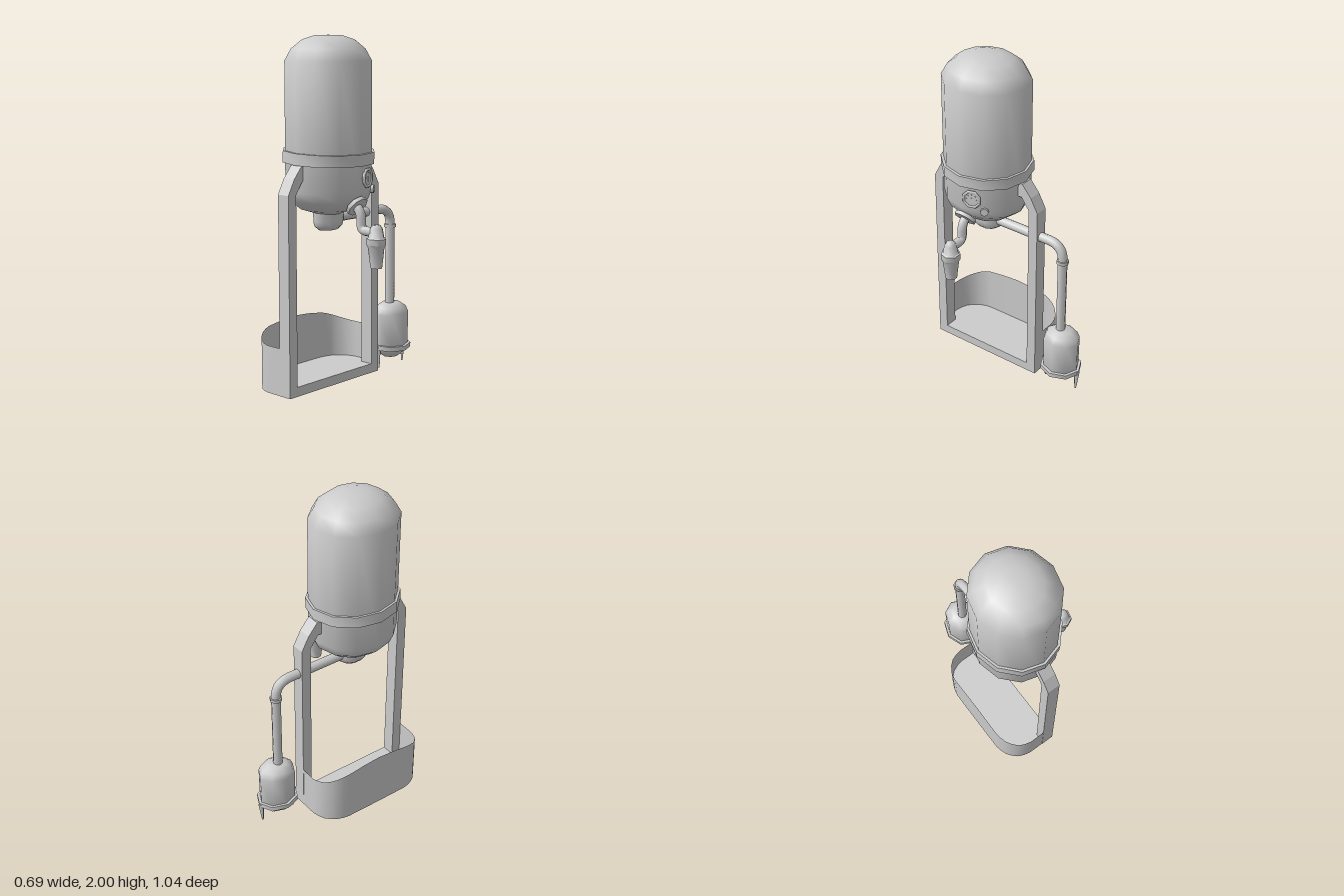
import * as THREE from 'three';
import { toCreasedNormals } from 'three/addons/utils/BufferGeometryUtils.js';

const grey = new THREE.MeshStandardMaterial({ color: 0xcccccc });
const thin = new THREE.MeshStandardMaterial({ color: 0xcccccc, side: THREE.DoubleSide });
const v3 = (p) => new THREE.Vector3(...p);
const v2 = (p) => new THREE.Vector2(...p);

export function createModel() {
  const model = new THREE.Group();
  const AX = -0.065; // shared x axis of tank, pipe and pump
  const TZ = 0.158; // tank centre
  const FZ = 0.148; // frame centre

  function add(name, geometry, pos = [0, 0, 0], parent = model, material = grey) {
    const mesh = new THREE.Mesh(geometry, material);
    mesh.name = name;
    mesh.position.set(...pos);
    parent.add(mesh);
    return mesh;
  }
  // turned part, profile listed from bottom to top as [radius, y]
  const turned = (profile, sides, sx = 1, sz = 1) =>
    toCreasedNormals(new THREE.LatheGeometry(profile.map(v2), sides).scale(sx, 1, sz), 0.95);
  // pipe along straight runs with rounded corners
  function pipe(points, radius, bend, sides) {
    const path = new THREE.CurvePath();
    const p = points.map(v3);
    let from = p[0];
    for (let i = 1; i < p.length - 1; i++) {
      const a = p[i].clone().add(p[i - 1].clone().sub(p[i]).setLength(bend));
      const b = p[i].clone().add(p[i + 1].clone().sub(p[i]).setLength(bend));
      path.add(new THREE.LineCurve3(from, a));
      path.add(new THREE.QuadraticBezierCurve3(a, p[i], b));
      from = b;
    }
    path.add(new THREE.LineCurve3(from, p[p.length - 1]));
    return new THREE.TubeGeometry(path, 48, radius, sides);
  }

  // main tank with domed ends
  add('tank', turned([
    [0, 1.0], [0.07, 1.002], [0.155, 1.03], [0.218, 1.085], [0.24, 1.14], [0.24, 1.86],
    [0.205, 1.925], [0.145, 1.975], [0.075, 1.998], [0, 2.0],
  ], 12, 1, 1.085), [AX, 0, TZ]);

  // slightly tilted band around the tank
  const band = add('tankBand', turned([
    [0.23, -0.033], [0.255, -0.033], [0.255, 0.033], [0.23, 0.033],
  ], 12, 1, 1.075), [AX, 1.328, TZ]);
  band.rotation.z = -0.04;

  // outlet cup under the tank
  add('outletCup', turned([
    [0, 0.907], [0.045, 0.909], [0.063, 0.93], [0.068, 0.96], [0.068, 1.03],
  ], 10, 1, 1.5), [AX, 0, TZ + 0.004]);

  // frame: base bar and two posts leaning in at the top
  const half = [[0.372, 0], [0.372, 1.14], [0.326, 1.225], [0.267, 1.295], [0.21, 1.295],
    [0.21, 1.21], [0.262, 1.21], [0.312, 1.14], [0.312, 0.055]];
  const outline = [...half, ...half.map(([z, y]) => [-z, y]).reverse()];
  const frame = new THREE.ExtrudeGeometry(new THREE.Shape(outline.map(v2)), { depth: 0.08, bevelEnabled: false });
  add('frame', frame.rotateY(-Math.PI / 2), [-0.025, 0, FZ]);

  // tray behind the frame: thin wall of varying height, [x, z offset, top]
  const side = [[-0.105, 0.37, 0.275], [-0.2, 0.37, 0.275], [-0.24, 0.361, 0.279], [-0.278, 0.344, 0.287],
    [-0.31, 0.313, 0.301], [-0.329, 0.285, 0.313], [-0.342, 0.25, 0.325], [-0.349, 0.215, 0.333],
    [-0.35, 0.11, 0.347]];
  const rim = [...side, [-0.35, 0, 0.355], ...side.map(([x, z, y]) => [x, -z, y]).reverse()];
  const pos = [];
  const index = [];
  rim.forEach(([x, z, top], i) => {
    pos.push(x, 0, z, x, top, z);
    if (i) index.push(2 * i - 2, 2 * i - 1, 2 * i, 2 * i, 2 * i - 1, 2 * i + 1);
  });
  const wall = new THREE.BufferGeometry();
  wall.setAttribute('position', new THREE.Float32BufferAttribute(pos, 3));
  wall.setIndex(index);
  wall.computeVertexNormals();
  add('trayWall', wall, [0, 0, FZ], model, thin);
  const floorShape = new THREE.Shape(rim.map(([x, z]) => new THREE.Vector2(x, z)));
  add('trayFloor', new THREE.ShapeGeometry(floorShape).rotateX(Math.PI / 2), [0, 0.055, FZ], model, thin);
  add('trayBottom', new THREE.ShapeGeometry(floorShape).rotateX(Math.PI / 2), [0, 0, FZ], model, thin);

  // pipe from the outlet cup back and down to the pump
  add('backPipe', pipe([[AX, 0.97, 0.12], [AX, 0.97, -0.378], [AX, 0.36, -0.378]], 0.028, 0.1, 8));
  add('pipeCollar', new THREE.CylinderGeometry(0.036, 0.036, 0.02, 8), [AX, 0.862, -0.378]);

  // pump bulb with flange and two pointed feet
  const pump = new THREE.Group();
  pump.name = 'pump';
  pump.position.set(AX, 0, -0.388);
  model.add(pump);
  add('pumpBulb', turned([
    [0, 0.048], [0.045, 0.055], [0.08, 0.08], [0.098, 0.12], [0.1, 0.33], [0.085, 0.365], [0.055, 0.387], [0, 0.392],
  ], 8, 1, 1.14), [0, 0, 0], pump);
  const flange = add('pumpFlange', new THREE.CylinderGeometry(0.115, 0.115, 0.028, 8), [0, 0.124, 0], pump);
  flange.scale.z = 1.12;
  flange.rotation.z = -0.06;
  for (const s of [1, -1]) {
    const foot = add('pumpFoot', new THREE.CylinderGeometry(0.02, 0.006, 0.13, 4), [0, 0.065, s * 0.112], pump);
    foot.rotation.x = s * 0.05;
  }

  // tap: mounting plate, bent pipe and spout
  const plate = add('tapPlate', new THREE.CylinderGeometry(0.066, 0.066, 0.022, 8), [0.145, 1.063, 0.155]);
  plate.rotation.z = 0.885;
  add('tapPipe', pipe([[0.125, 1.075, 0.155], [0.175, 1.03, 0.155], [0.18, 0.928, 0.155], [0.29, 0.928, 0.155]],
    0.027, 0.035, 8));
  add('tapSpout', turned([
    [0, 0.73], [0.034, 0.73], [0.048, 0.845], [0.057, 0.862], [0.057, 0.895], [0.046, 0.9],
    [0.036, 0.95], [0.022, 0.97], [0, 0.972],
  ], 7), [0.288, 0, 0.152]);

  // dial gauge with rim, marks and needle, facing outward from the tank
  const gauge = new THREE.Group();
  gauge.name = 'gauge';
  gauge.position.set(0.166, 1.215, 0.09);
  gauge.rotation.y = Math.PI / 2 + 0.27;
  model.add(gauge);
  add('gaugeFace', new THREE.CylinderGeometry(0.05, 0.05, 0.02, 8).rotateX(Math.PI / 2), [0, 0, -0.006], gauge);
  add('gaugeRim', new THREE.TorusGeometry(0.05, 0.009, 6, 8), [0, 0, 0.002], gauge).rotation.z = Math.PI / 8;
  add('gaugeNeedle', new THREE.BoxGeometry(0.006, 0.03, 0.004), [0, -0.005, 0.005], gauge);
  for (let i = 0; i < 5; i++) {
    const a = (i * Math.PI) / 4;
    add('gaugeMark', new THREE.BoxGeometry(0.005, 0.005, 0.003),
      [0.03 * Math.cos(a), 0.03 * Math.sin(a), 0.005], gauge);
  }

  // small knob beside the gauge
  const knob = add('knob', new THREE.CylinderGeometry(0.024, 0.024, 0.04, 8).rotateX(Math.PI / 2), [0.132, 1.145, 0.026]);
  knob.rotation.y = Math.PI / 2 + 0.54;

  return model;
}
